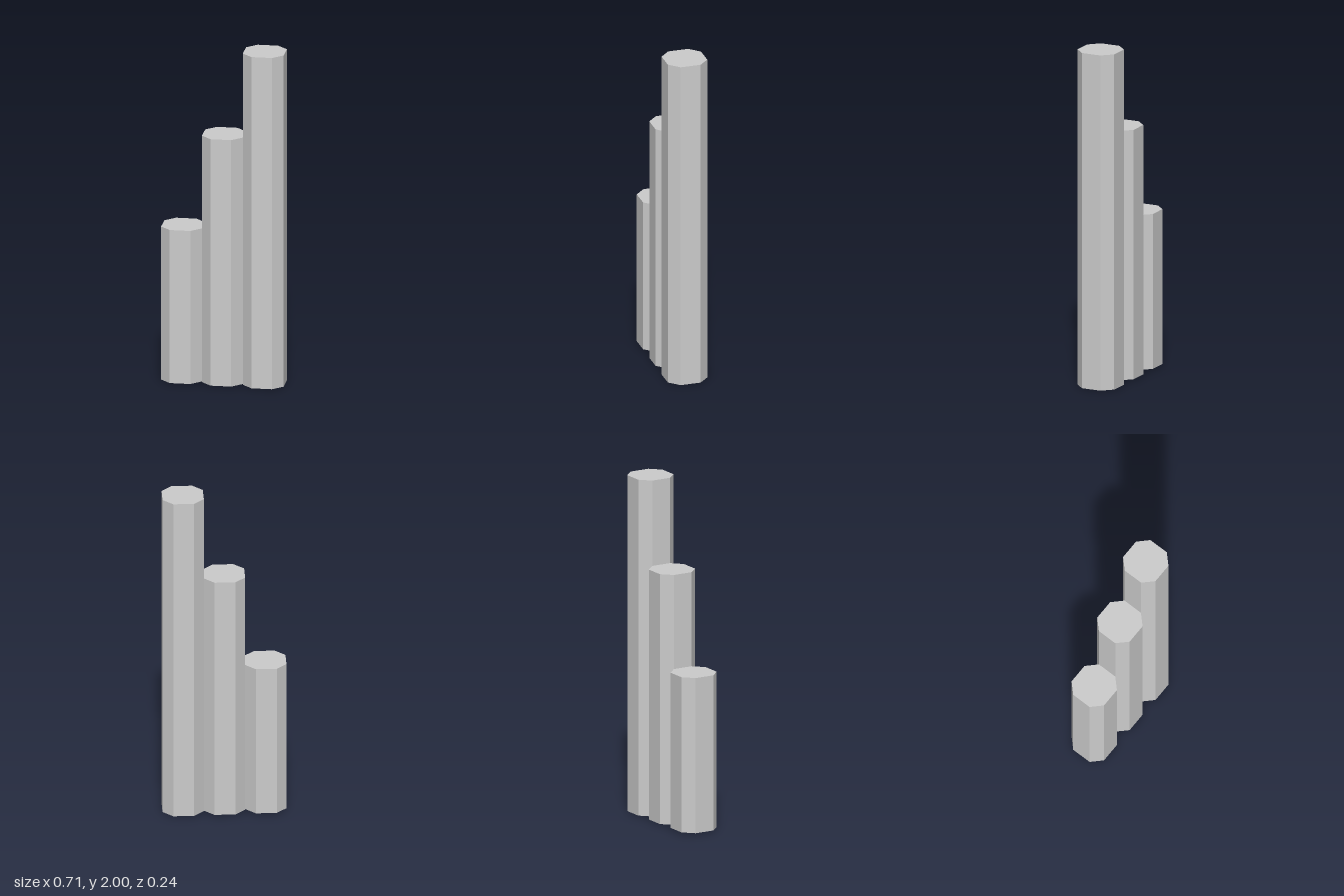
import * as THREE from 'three';

const HALF = 0.119;   // half the width across the flats
const CORNER = 0.06;  // half the length of a straight flat

const material = new THREE.MeshStandardMaterial({
  color: 0xcccccc, flatShading: true, side: THREE.DoubleSide,
});

// Reshape a unit octagon so its flats and chamfers have the wanted lengths
function fitOctagon(geometry) {
  const pos = geometry.attributes.position;
  const snap = (v) => Math.abs(v) < 0.01 ? 0 : Math.sign(v) * (Math.abs(v) > 0.6 ? HALF : CORNER);
  for (let i = 0; i < pos.count; i++) {
    pos.setX(i, snap(pos.getX(i)));
    pos.setZ(i, snap(pos.getZ(i)));
  }
  geometry.computeVertexNormals();
  return geometry;
}

// Hollow octagonal column: closed on top, open underneath
function createColumn(name, x, z, bottom, top) {
  const column = new THREE.Group();
  column.name = name;

  const wall = new THREE.Mesh(
    fitOctagon(new THREE.CylinderGeometry(1, 1, top - bottom, 8, 1, true, Math.PI / 8)), material);
  wall.name = name + 'Wall';
  wall.position.y = (bottom + top) / 2;

  const cap = new THREE.Mesh(
    fitOctagon(new THREE.CircleGeometry(1, 8, Math.PI / 8).rotateX(-Math.PI / 2)), material);
  cap.name = name + 'Cap';
  cap.position.y = top;

  column.add(wall, cap);
  column.position.set(x, 0, z);
  return column;
}

export function createModel() {
  const model = new THREE.Group();
  model.name = 'steppedColumns';
  model.add(
    createColumn('shortColumn', -2 * HALF, -0.0015, 0.008, 0.932),
    createColumn('middleColumn', 0, -0.0015, 0.004, 1.492),
    createColumn('tallColumn', 2 * HALF, 0, 0, 2),
  );
  return model;
}
